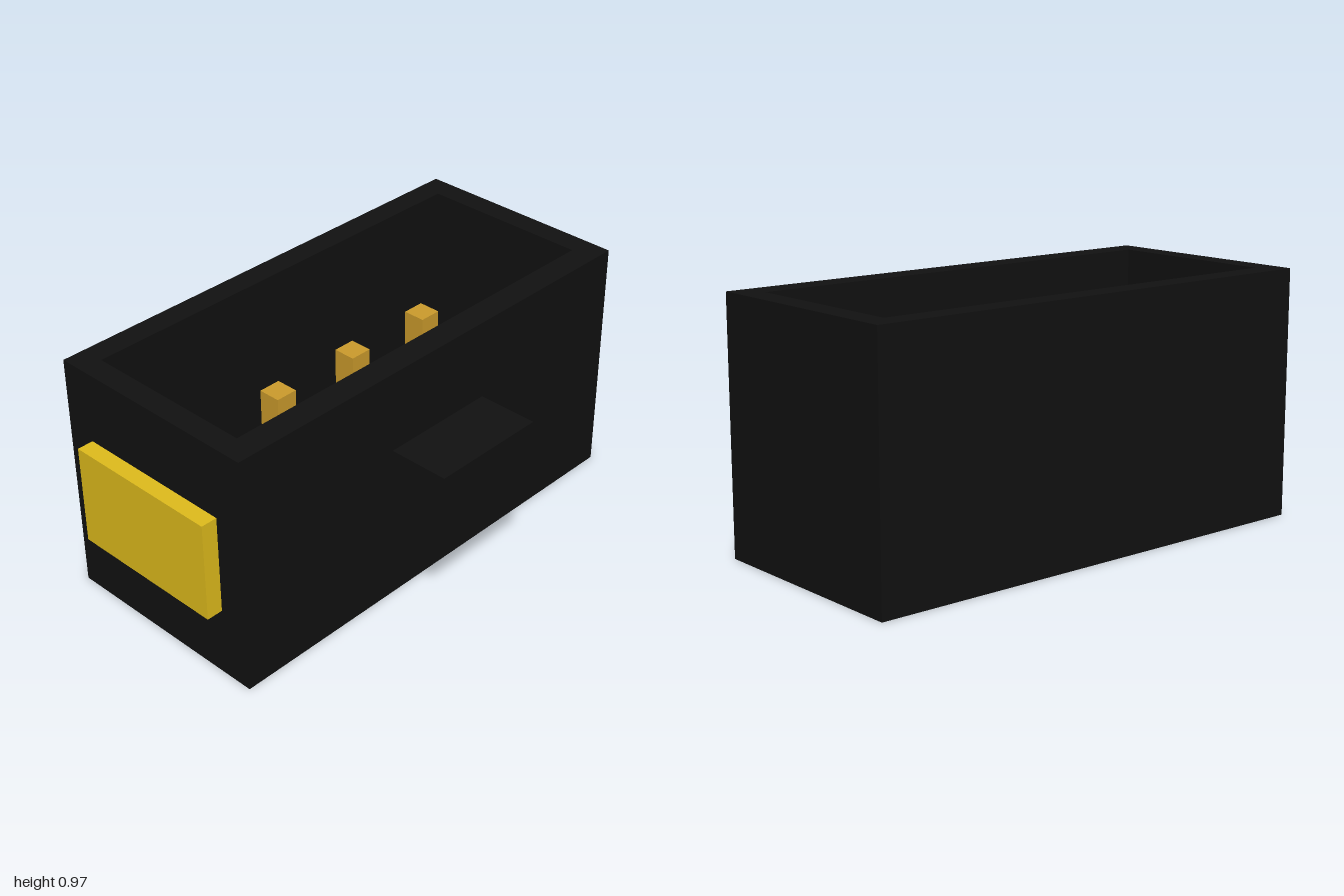
import * as THREE from 'three';

const black = new THREE.MeshStandardMaterial({ color: 0x111111 });
const yellow = new THREE.MeshStandardMaterial({ color: 0xe0bc1c });
const gold = new THREE.MeshStandardMaterial({ color: 0xcc9c2c });

// Box given by its lower and upper limits on each axis
function box(name, material, [x0, x1], [y0, y1], [z0, z1]) {
  const mesh = new THREE.Mesh(new THREE.BoxGeometry(x1 - x0, y1 - y0, z1 - z0), material);
  mesh.position.set((x0 + x1) / 2, (y0 + y1) / 2, (z0 + z1) / 2);
  mesh.name = name;
  return mesh;
}

// Corner points of a rectangle in plan; shape y becomes -z
function rectangle(x0, x1, z0, z1) {
  return [[x0, -z1], [x1, -z1], [x1, -z0], [x0, -z0]].map(([x, y]) => new THREE.Vector2(x, y));
}

export function createModel() {
  const model = new THREE.Group();
  model.name = 'connectorHousing';
  const floorTop = 0.1, height = 0.97;

  // Open-topped housing: solid base plus a ring of walls
  const base = box('housingFloor', black, [-0.935, 1], [0, floorTop], [-0.565, 0.323]);
  const outline = new THREE.Shape(rectangle(-0.935, 1, -0.565, 0.323));
  outline.holes.push(new THREE.Path(rectangle(-0.845, 0.905, -0.47, 0.22)));
  const wallGeometry = new THREE.ExtrudeGeometry(outline, { depth: height - floorTop, bevelEnabled: false });
  wallGeometry.rotateX(-Math.PI / 2);
  const walls = new THREE.Mesh(wallGeometry, black);
  walls.position.y = floorTop;
  walls.name = 'housingWalls';
  model.add(base, walls);

  // Locking tab on the front and coloured plate on the end
  model.add(box('lockingTab', black, [-0.21, 0.273], [0.325, 0.647], [0.323, 0.565]));
  model.add(box('endPlate', yellow, [-1, -0.935], [0.285, 0.685], [-0.445, 0.2]));

  // Two rows of four contact pins
  const pins = new THREE.Group();
  pins.name = 'contactPins';
  for (const z of [-0.303, 0.053]) {
    for (const x of [-0.573, -0.17, 0.232, 0.633]) {
      pins.add(box('contactPin', gold, [x - 0.047, x + 0.047], [floorTop, 0.6], [z - 0.047, z + 0.047]));
    }
  }
  model.add(pins);
  return model;
}
